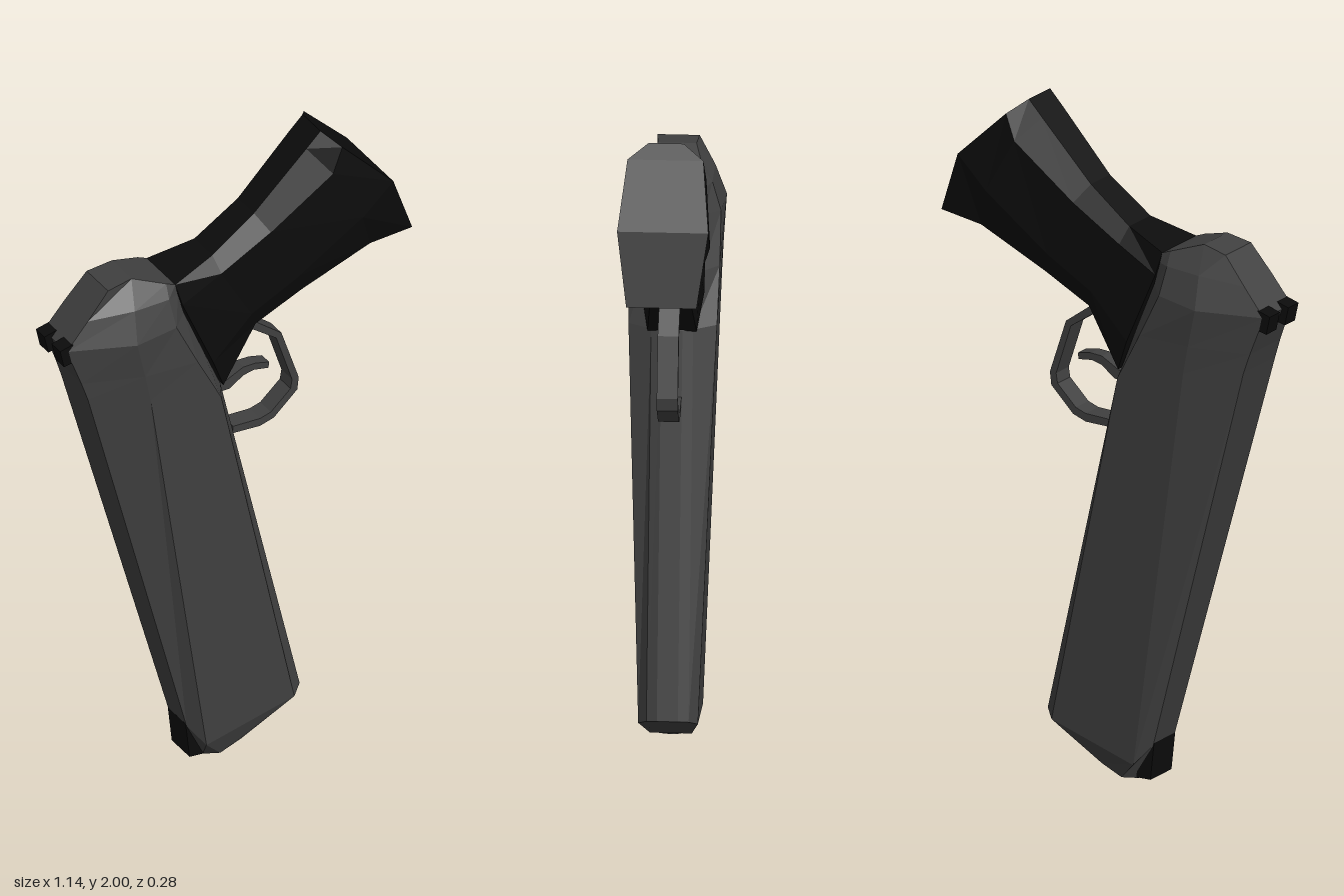
import * as THREE from 'three';

const grey = new THREE.MeshStandardMaterial({ color: 0x404040 });
grey.name = 'gunmetal grey';
const black = new THREE.MeshStandardMaterial({ color: 0x0c0c0c });
black.name = 'black';

// Faceted solid, mirrored in z, lofted through half-sections of [x, y, z] points
function loft(sections) {
  const pos = [];
  const quad = (a, b, c, d) => pos.push(...a, ...b, ...c, ...a, ...c, ...d);
  const flip = ([x, y, z]) => [x, y, -z];
  const rings = sections.map(s => [...s, ...s.map(flip).reverse()]);
  for (let j = 0; j < rings.length - 1; j++) {
    const a = rings[j], b = rings[j + 1];
    for (let i = 0; i < a.length; i++) {
      const n = (i + 1) % a.length;
      quad(a[i], a[n], b[n], b[i]);
    }
  }
  // End caps, as strips from one side to the other
  const first = sections[0], last = sections[sections.length - 1];
  for (let k = 0; k < first.length - 1; k++) {
    quad(flip(first[k]), flip(first[k + 1]), first[k + 1], first[k]);
    quad(last[k], last[k + 1], flip(last[k + 1]), flip(last[k]));
  }
  const g = new THREE.BufferGeometry();
  g.setAttribute('position', new THREE.Float32BufferAttribute(pos, 3));
  g.computeVertexNormals();
  return g;
}

// Flat outline in xy with a thickness centred on z
function plate(points, depth, z = 0) {
  const shape = new THREE.Shape(points.map(p => new THREE.Vector2(...p)));
  const g = new THREE.ExtrudeGeometry(shape, { depth, bevelEnabled: false });
  return g.translate(0, 0, z - depth / 2);
}

export function createModel() {
  const model = new THREE.Group();
  model.name = 'pistol';
  const add = (name, geometry, material) => {
    const mesh = new THREE.Mesh(geometry, material);
    mesh.name = name;
    model.add(mesh);
    return mesh;
  };

  // Slide and frame, from the muzzle up to the rounded rear
  add('slideAndFrame', loft([
    [[-0.09, 0.005, 0.045], [-0.04, 0, 0.06], [0.03, 0.026, 0.06], [0.04, 0.03, 0.055], [0.05, 0.036, 0.03]],
    [[-0.145, 0.12, 0.05], [-0.1, 0.06, 0.085], [0.19, 0.13, 0.085], [0.222, 0.15, 0.06], [0.232, 0.155, 0.03]],
    [[-0.485, 1.36, 0.075], [-0.31, 1.33, 0.129], [-0.075, 1.26, 0.126], [-0.04, 1.26, 0.06], [-0.03, 1.26, 0.03]],
    [[-0.505, 1.42, 0.072], [-0.33, 1.42, 0.133], [-0.155, 1.41, 0.13], [-0.11, 1.41, 0.08], [-0.105, 1.41, 0.04]],
    [[-0.55, 1.54, 0.066], [-0.36, 1.54, 0.14], [-0.225, 1.55, 0.13], [-0.175, 1.56, 0.085], [-0.17, 1.56, 0.04]],
    [[-0.48, 1.62, 0.065], [-0.35, 1.635, 0.108], [-0.235, 1.635, 0.105], [-0.195, 1.63, 0.085], [-0.19, 1.63, 0.04]],
    [[-0.41, 1.698, 0.06], [-0.33, 1.71, 0.055], [-0.23, 1.673, 0.08], [-0.2, 1.66, 0.08], [-0.2, 1.66, 0.04]],
  ]), grey);

  // Grip, flaring towards the butt
  add('grip', loft([
    [[-0.2, 1.66, 0.08], [-0.182, 1.59, 0.09], [-0.08, 1.36, 0.09], [-0.035, 1.257, 0.07]],
    [[-0.06, 1.697, 0.05], [-0.05, 1.65, 0.085], [0.05, 1.48, 0.085], [0.08, 1.42, 0.055]],
    [[0.08, 1.79, 0.045], [0.11, 1.74, 0.09], [0.2, 1.56, 0.092], [0.23, 1.49, 0.06]],
    [[0.25, 1.955, 0.05], [0.3, 1.89, 0.115], [0.39, 1.72, 0.13], [0.44, 1.59, 0.085]],
    [[0.297, 2, 0.05], [0.335, 1.965, 0.108], [0.49, 1.81, 0.13], [0.57, 1.61, 0.1]],
  ]), black);

  // Trigger guard and trigger
  add('triggerGuard', plate([
    [0.05, 1.43], [0.09, 1.41], [0.18, 1.34], [0.237, 1.17], [0.232, 1.13], [0.155, 1.06],
    [0.11, 1.047], [0.02, 1.052], [0.02, 1.075], [0.11, 1.072], [0.145, 1.082],
    [0.21, 1.14], [0.215, 1.17], [0.163, 1.328], [0.07, 1.395],
  ], 0.06), grey);
  add('trigger', plate([
    [-0.04, 1.23], [0, 1.23], [0.06, 1.258], [0.1, 1.258], [0.145, 1.247],
    [0.143, 1.228], [0.095, 1.237], [0.06, 1.23], [0.015, 1.2], [-0.04, 1.2],
  ], 0.04), grey);

  // Sights: one blade at the muzzle, a notched pair at the rear
  add('frontSight', plate([
    [-0.148, 0.128], [-0.135, 0.012], [-0.085, 0.008], [-0.09, 0.05], [-0.11, 0.09],
  ], 0.1), black);
  for (const side of [-1, 1]) {
    add(side > 0 ? 'rearSightLeft' : 'rearSightRight', plate([
      [-0.573, 1.55], [-0.56, 1.493], [-0.52, 1.5], [-0.53, 1.56],
    ], 0.048, side * 0.044), black);
  }

  // Dark bore opening on the muzzle face
  const bore = add('bore', new THREE.CylinderGeometry(0.028, 0.028, 0.008, 10), black);
  bore.position.set(-0.003, 0.014, 0);
  bore.rotation.z = 0.357;

  return model;
}
